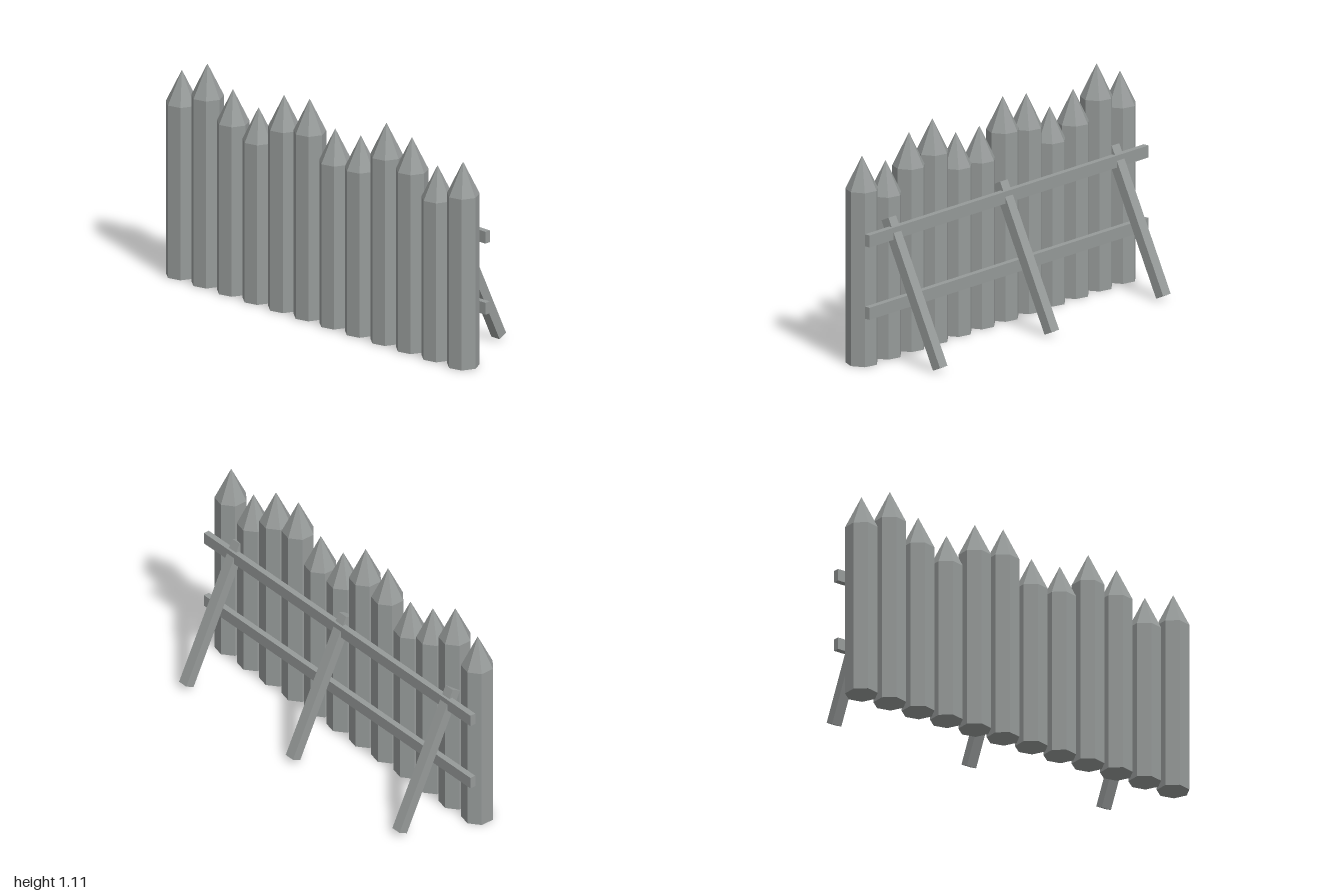
import * as THREE from 'three';

export function createModel() {
  const group = new THREE.Group();
  const wood = new THREE.MeshStandardMaterial({ color: 0x969a99, flatShading: true });
  wood.name = 'weathered grey wood';

  const add = (name, geometry, x, y, z) => {
    const mesh = new THREE.Mesh(geometry, wood);
    mesh.name = name;
    mesh.position.set(x, y, z);
    group.add(mesh);
    return mesh;
  };

  // Sharpened seven-sided stakes of uneven height
  const radius = 0.08, pointHeight = 0.165, spacing = 0.1673;
  const tips = [1.038, 1.112, 1.023, 0.973, 1.077, 1.099, 0.99, 0.996, 1.103, 1.071, 0.97, 1.03];
  tips.forEach((tip, i) => {
    const profile = [[0, 0], [radius, 0], [radius, tip - pointHeight], [0, tip]]
      .map(([r, y]) => new THREE.Vector2(r, y));
    const stake = new THREE.LatheGeometry(profile, 7, Math.PI / 2);
    add(`stake${i + 1}`, stake, (i - 5.5) * spacing, 0, 0.167);
  });

  // Two horizontal rails behind the stakes
  const rail = new THREE.BoxGeometry(1.99, 0.06, 0.03);
  add('lowerRail', rail, -0.005, 0.28, 0.071);
  add('upperRail', rail, -0.005, 0.64, 0.071);

  // Three slanted braces propping up the wall from behind
  const foot = new THREE.Vector2(-0.2175, 0.02), head = new THREE.Vector2(0.112, 0.702);
  const brace = new THREE.BoxGeometry(0.054, foot.distanceTo(head), 0.05);
  ['rightBrace', 'middleBrace', 'leftBrace'].forEach((name, i) => {
    const mesh = add(name, brace, -0.005 + (i - 1) * 0.796, (foot.y + head.y) / 2, (foot.x + head.x) / 2);
    mesh.rotation.x = Math.atan2(head.x - foot.x, head.y - foot.y);
  });

  return group;
}
